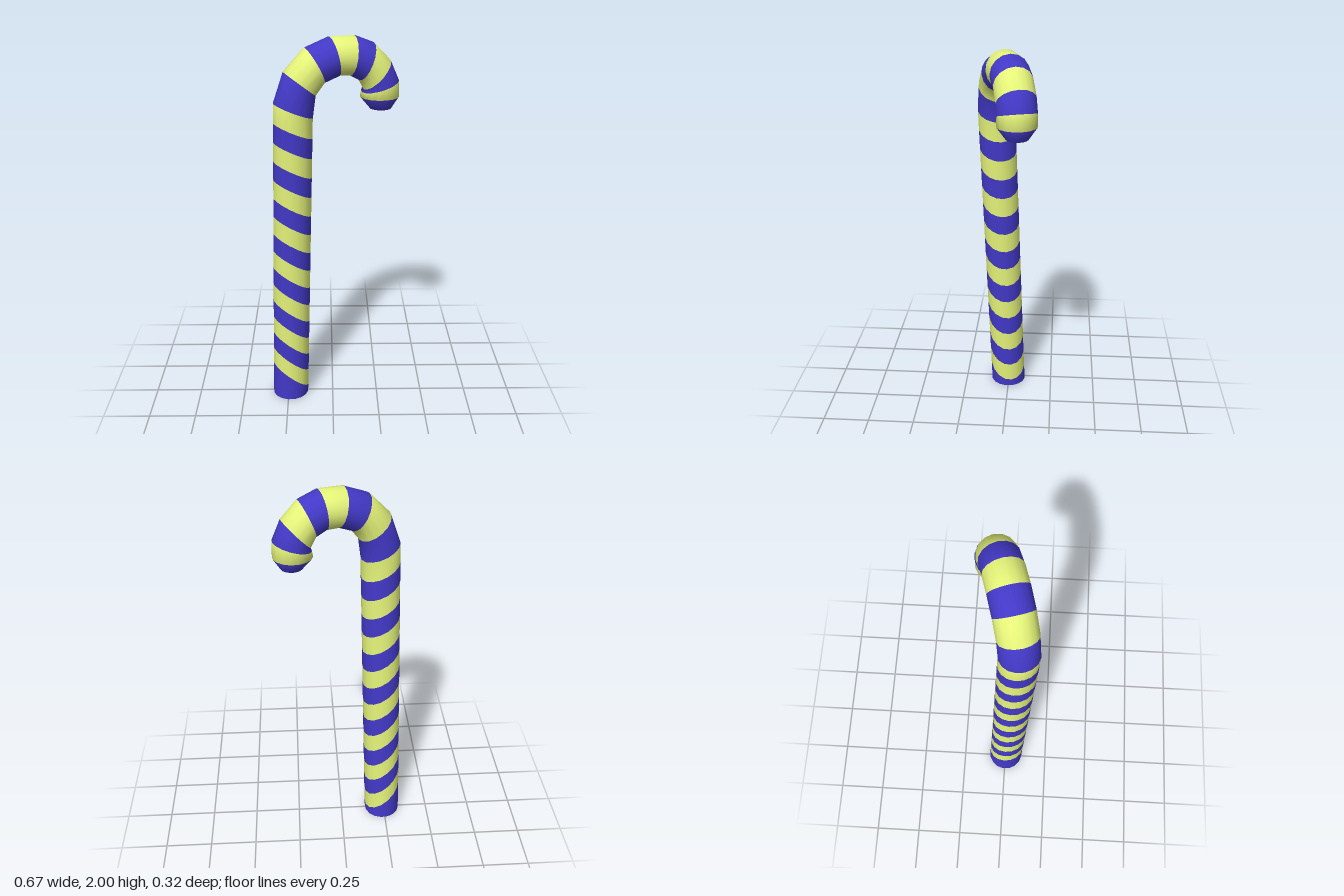
import * as THREE from 'three';

const SIDES = 16, R = 0.098;
const H = new THREE.Vector3(0.957, 0, -0.289); // direction the hook reaches
const N = new THREE.Vector3(0.289, 0, 0.957);  // sideways to the hook

// One ring of points: centre (s along H, y, n along N), inner axis (ds, dy) and sideways radius
function ring(s, y, n, ds, dy, r) {
  return Array.from({ length: SIDES }, (_, j) => {
    const a = (j / SIDES) * Math.PI * 2, c = Math.cos(a);
    return new THREE.Vector3(0, y + dy * c, 0)
      .addScaledVector(H, s + ds * c)
      .addScaledVector(N, n + r * Math.sin(a));
  });
}

// Shaft ring, slanted from its outer height down to its inner height
function shaftRing(outerY, innerY) {
  const y = (outerY + innerY) / 2, t = y / 1.68, half = (innerY - outerY) / 2;
  const lean = 0.0138 * half;
  return ring(-0.229 + 0.024 * t, y, -0.066 + 0.072 * t, R + lean, half, R);
}

function caneRings() {
  const rings = [shaftRing(0, 0)];
  for (let i = 0; i <= 15; i++) rings.push(shaftRing(0.2 + 0.0993 * i, 0.04 + 0.1047 * i));
  // Hook: s, y, angle of the inner side, radius
  const hook = [
    [-0.172, 1.78, -38, R], [-0.096, 1.865, -62, R], [0.003, 1.903, -77, R],
    [0.095, 1.903, -97, R], [0.17, 1.87, -112, R], [0.225, 1.803, -133, R],
    [0.245, 1.745, -163, R], [0.243, 1.69, -180, R], [0.25, 1.63, -180, 0.054],
  ];
  for (const [s, y, deg, r] of hook) {
    const a = THREE.MathUtils.degToRad(deg);
    rings.push(ring(s, y, 0.006, r * Math.cos(a), r * Math.sin(a), r));
  }
  return rings;
}

export function createModel() {
  const group = new THREE.Group();
  group.name = 'candyCane';
  const rings = caneRings();
  const points = rings.flat();
  const bands = [[], []]; // even bands are blue, odd ones yellow

  // Striped wall, band by band
  for (let i = 0; i < rings.length - 1; i++) {
    for (let j = 0; j < SIDES; j++) {
      const k = (j + 1) % SIDES;
      const a = i * SIDES + j, b = i * SIDES + k, c = a + SIDES, d = b + SIDES;
      bands[i % 2].push(a, c, b, b, c, d);
    }
  }

  // Flat ends, with their own corners to keep the edge sharp
  const addCap = (loop, flip) => {
    const centre = loop.reduce((v, p) => v.add(p), new THREE.Vector3()).divideScalar(SIDES);
    const base = points.length;
    points.push(centre, ...loop);
    for (let j = 0; j < SIDES; j++) {
      const p = base + 1 + j, q = base + 1 + ((j + 1) % SIDES);
      bands[0].push(base, flip ? q : p, flip ? p : q);
    }
  };
  addCap(rings[0], false);
  addCap(rings[rings.length - 1], true);

  // Smooth normals are shared by both stripe colours
  const whole = new THREE.BufferGeometry().setFromPoints(points);
  whole.setIndex([...bands[0], ...bands[1]]);
  whole.computeVertexNormals();

  [['blueStripes', 0x4339c8], ['yellowStripes', 0xe6f57a]].forEach(([name, color], i) => {
    const geometry = new THREE.BufferGeometry();
    geometry.setAttribute('position', whole.getAttribute('position'));
    geometry.setAttribute('normal', whole.getAttribute('normal'));
    geometry.setIndex(bands[i]);
    const mesh = new THREE.Mesh(geometry, new THREE.MeshStandardMaterial({ color }));
    mesh.name = name;
    group.add(mesh);
  });
  return group;
}
